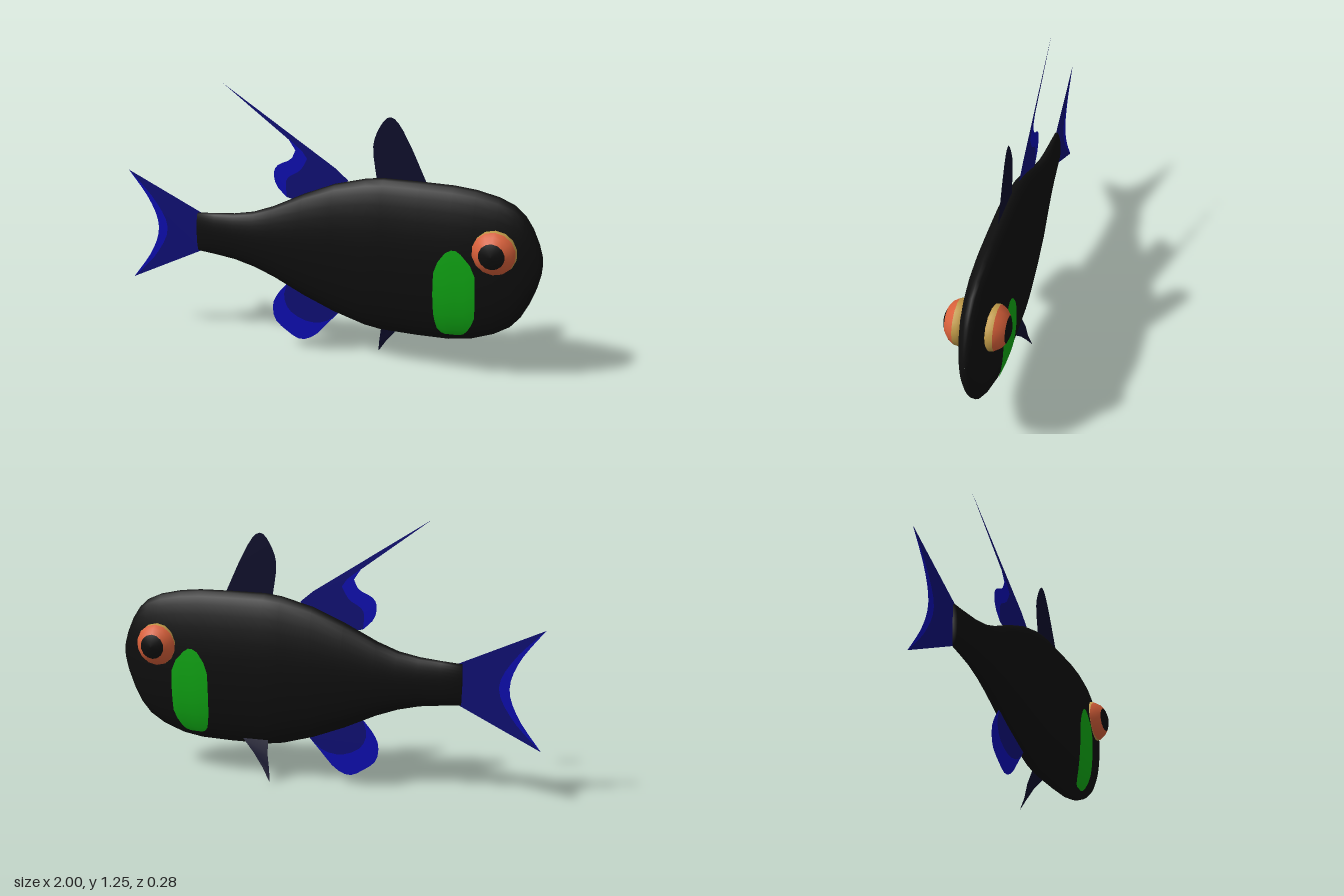
import * as THREE from 'three';

const mat = (name, color, side = THREE.FrontSide) => {
  const m = new THREE.MeshStandardMaterial({ color, side });
  m.name = name;
  return m;
};

// Body stations: x, top, bottom, half width
const STATIONS = [
  [-0.64, 0.615, 0.425, 0.022], [-0.55, 0.622, 0.417, 0.03], [-0.45, 0.632, 0.405, 0.038],
  [-0.35, 0.652, 0.38, 0.047], [-0.25, 0.69, 0.343, 0.057], [-0.1, 0.765, 0.272, 0.072],
  [0.05, 0.828, 0.212, 0.082], [0.2, 0.868, 0.168, 0.09], [0.28, 0.878, 0.156, 0.092],
  [0.45, 0.879, 0.154, 0.092], [0.6, 0.877, 0.157, 0.09], [0.7, 0.867, 0.173, 0.085],
  [0.8, 0.845, 0.21, 0.074], [0.87, 0.815, 0.253, 0.062], [0.915, 0.775, 0.305, 0.051],
  [0.95, 0.722, 0.372, 0.04], [0.98, 0.655, 0.45, 0.026], [0.995, 0.605, 0.51, 0.016],
];

// Cross-section is an ellipse above and a fuller curve below
const girth = (u) => Math.sqrt(Math.max(0, 1 - Math.abs(u) ** (u > 0 ? 2 : 2.6)));

function stationAt(x) {
  let i = 0;
  while (i < STATIONS.length - 2 && STATIONS[i + 1][0] < x) i++;
  const a = STATIONS[i], b = STATIONS[i + 1], t = (x - a[0]) / (b[0] - a[0]);
  return a.map((v, k) => v + (b[k] - v) * t);
}

function halfWidth(x, y) {
  const [, top, bottom, w] = stationAt(x);
  return w * girth((2 * y - top - bottom) / (top - bottom));
}

// Skin a grid of points, rows by columns
function skin(rows, wrap) {
  const n = rows[0].length, index = [];
  for (let i = 0; i < rows.length - 1; i++) {
    for (let j = 0; j < (wrap ? n : n - 1); j++) {
      const k = (j + 1) % n, a = i * n, b = a + n;
      index.push(a + j, b + j, a + k, b + j, b + k, a + k);
    }
  }
  const g = new THREE.BufferGeometry();
  g.setAttribute('position', new THREE.Float32BufferAttribute(rows.flat(2), 3));
  g.setIndex(index);
  g.computeVertexNormals();
  return g;
}

function bodyGeometry() {
  const ends = [[-0.643, 0.521, 0.519, 0.001], ...STATIONS, [1, 0.561, 0.559, 0.001]];
  return skin(ends.map(([x, top, bottom, w]) => Array.from({ length: 32 }, (_, j) => {
    const a = (j / 32) * Math.PI * 2, u = Math.sin(a);
    return [x, (top + bottom) / 2 + (u * (top - bottom)) / 2, Math.sign(Math.cos(a)) * w * girth(u)];
  })), true);
}

// Cheek patch rows: y, back x, front x
const PATCH = [
  [0.2, 0.59, 0.65], [0.207, 0.572, 0.672], [0.225, 0.557, 0.69], [0.26, 0.548, 0.71], [0.3, 0.542, 0.725],
  [0.35, 0.539, 0.726], [0.4, 0.538, 0.726], [0.45, 0.538, 0.725], [0.5, 0.54, 0.722],
  [0.55, 0.557, 0.70], [0.595, 0.588, 0.658], [0.61, 0.615, 0.635],
];
const patchGeometry = (side) => skin(PATCH.map(([y, x0, x1]) => Array.from({ length: 9 }, (_, j) => {
  const x = x0 + ((x1 - x0) * j) / 8;
  return [x, y, side * (halfWidth(x, y) + 0.004)];
})), false);

// Flat fin from an outline
const fin = (points) => new THREE.ShapeGeometry(new THREE.Shape(points.map(([x, y]) => new THREE.Vector2(x, y))));

// Samples of a smooth curve through a few points
const smooth = (points, n = 14) =>
  new THREE.SplineCurve(points.map(([x, y]) => new THREE.Vector2(x, y))).getPoints(n).map((p) => [p.x, p.y]);

export function createModel() {
  const group = new THREE.Group();
  const black = mat('black', 0x0e0e0e);
  const green = mat('green', 0x10a814, THREE.DoubleSide);
  const blue = mat('bright blue', 0x0d0db2, THREE.DoubleSide);
  const darkBlue = mat('dark blue', 0x0f0f76, THREE.DoubleSide);
  const navy = mat('navy', 0x0d0d2c, THREE.DoubleSide);
  const orange = mat('orange', 0xd8603a, THREE.DoubleSide);
  const gold = mat('gold', 0xc09a48, THREE.DoubleSide);

  const add = (name, geometry, material, parent = group) => {
    const mesh = new THREE.Mesh(geometry, material);
    mesh.name = name;
    parent.add(mesh);
    return mesh;
  };

  add('body', bodyGeometry(), black);

  // Tail fin with a brighter trailing edge
  const tailInner = smooth([[-1, 0.79], [-0.87, 0.655], [-0.805, 0.52], [-0.87, 0.38], [-1, 0.245]]);
  const tailOuter = smooth([[-1, 0.245], [-0.895, 0.39], [-0.852, 0.52], [-0.895, 0.65], [-1, 0.79]]);
  add('tailFin', fin([[-0.62, 0.43], [-0.62, 0.615], ...tailInner]), darkBlue);
  add('tailFinEdge', fin([...tailInner, ...tailOuter.slice(1, -1)]), blue);

  // Front dorsal fin
  add('frontDorsalFin', fin([[0.47, 0.85], [0.475, 0.872],
    ...smooth([[0.41, 1.01], [0.345, 1.125], [0.295, 1.153], [0.25, 1.095], [0.226, 1.01], [0.245, 0.87]]),
    [0.27, 0.84]]), navy);

  // Rear dorsal fin: bright lobe and streamer around a darker base
  const dorsalLine = smooth([[-0.185, 0.74], [-0.185, 0.825], [-0.12, 0.872], [-0.085, 0.93]], 10);
  add('rearDorsalFin', fin([[0.1, 0.8], [0.11, 0.85], [0.05, 0.9], [-0.49, 1.245], [-0.11, 0.965],
    ...dorsalLine.slice().reverse(), [-0.1, 0.72]]), darkBlue);
  add('rearDorsalLobe', fin([...dorsalLine, [-0.11, 0.965], [-0.49, 1.245], [-0.175, 1.015],
    ...smooth([[-0.142, 0.965], [-0.165, 0.92], [-0.225, 0.89], [-0.248, 0.85], [-0.235, 0.79], [-0.185, 0.74]], 12).slice(0, -1)]), blue);

  // Anal fin: bright rim around a darker base
  const analLine = smooth([[-0.185, 0.32], [-0.205, 0.25], [-0.175, 0.18], [-0.09, 0.14], [0.0, 0.15], [0.068, 0.205]], 12);
  add('analFin', fin([...analLine, [0.03, 0.27], [-0.1, 0.32]]), darkBlue);
  add('analFinEdge', fin([...analLine,
    ...smooth([[0.068, 0.205], [0.01, 0.14], [-0.055, 0.07], [-0.125, 0.043], [-0.19, 0.075],
      [-0.25, 0.125], [-0.262, 0.2], [-0.235, 0.26], [-0.185, 0.32]], 18).slice(1, -1)]), blue);

  // Single pelvic fin, splayed outward
  add('pelvicFin', skin([
    [[0.26, 0.19, -0.04], [0.39, 0.19, -0.04]],
    [[0.255, 0.125, -0.064], [0.325, 0.125, -0.06]],
    [[0.245, 0.06, -0.073], [0.275, 0.06, -0.075]],
    [[0.235, 0, -0.092], [0.238, 0.003, -0.092]],
  ], false), navy);

  // Eye built from rings: radius, distance from the centre plane
  const ring = (points) => new THREE.LatheGeometry(points.map(([r, d]) => new THREE.Vector2(r, d)), 14);
  for (const side of [1, -1]) {
    add(side > 0 ? 'leftCheekPatch' : 'rightCheekPatch', patchGeometry(side), green);
    const eye = new THREE.Group();
    eye.name = side > 0 ? 'leftEye' : 'rightEye';
    eye.position.set(0.8, 0.615, 0);
    eye.rotation.x = (side * Math.PI) / 2;
    add('eyeRim', ring([[0.07, 0.02], [0.093, 0.045], [0.1, 0.065], [0.097, 0.084]]), gold, eye);
    add('iris', ring([[0.097, 0.084], [0.082, 0.108], [0.058, 0.126]]), orange, eye);
    add('pupil', ring([[0.058, 0.126], [0.03, 0.137], [0, 0.14]]), black, eye);
    group.add(eye);
  }
  return group;
}
